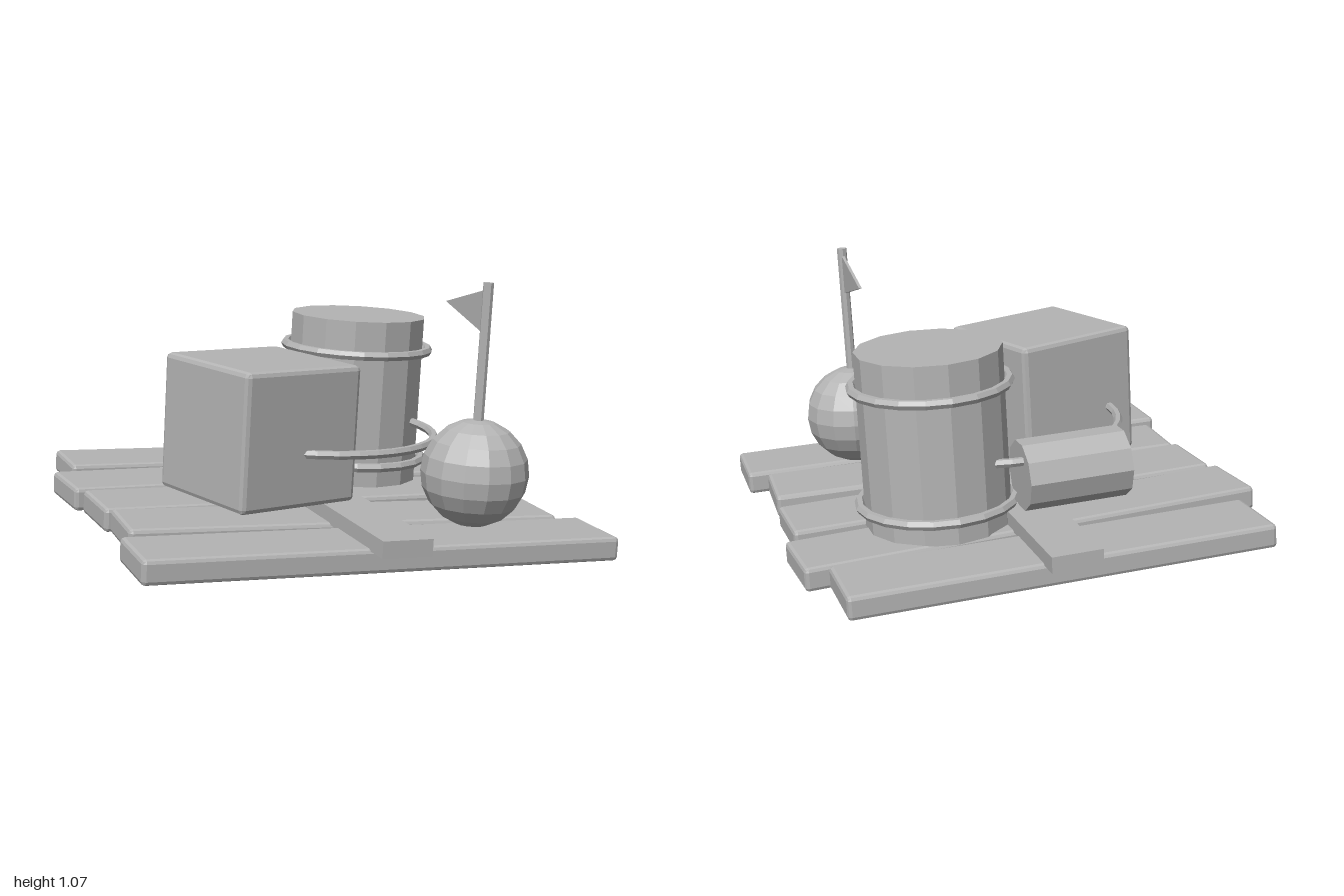
import * as THREE from 'three';
import { RoundedBoxGeometry } from 'three/addons/geometries/RoundedBoxGeometry.js';

export function createModel() {
  const grey = new THREE.MeshStandardMaterial({ color: 0xb4b4b4, flatShading: true });
  grey.name = 'plain grey';

  const model = new THREE.Group();
  model.name = 'raft';

  // Everything floats with a slight list to the front left
  const deck = new THREE.Group();
  deck.name = 'tiltedDeck';
  deck.position.y = 0.083;
  deck.rotation.set(0.042, 0, -0.042);
  model.add(deck);

  const add = (name, geometry, x, y, z, yaw = 0) => {
    const mesh = new THREE.Mesh(geometry, grey);
    mesh.name = name;
    mesh.position.set(x, y, z);
    mesh.rotation.y = yaw;
    deck.add(mesh);
    return mesh;
  };

  // Loose planks: length, z, yaw
  const planks = [
    [1.9, 0.74, -0.02],
    [1.765, 0.365, -0.048],
    [1.8, -0.012, 0.02],
    [1.88, -0.385, 0.052],
    [1.68, -0.755, 0],
  ];
  planks.forEach(([length, z, yaw], i) =>
    add(`plank${i + 1}`, new RoundedBoxGeometry(length, 0.095, 0.325, 1, 0.016), 0, 0.0475, z, yaw));

  // Beam across the planks
  add('crossBeam', new THREE.BoxGeometry(0.2, 0.065, 2), 0, 0.12, 0);

  // Crate
  add('crate', new RoundedBoxGeometry(0.55, 0.54, 0.55, 1, 0.02), -0.3, 0.42, 0.23, 0.29);

  // Barrel with two hoops
  add('barrel', new THREE.CylinderGeometry(0.29, 0.29, 0.71, 14), 0.33, 0.445, -0.295);
  for (const y of [0.185, 0.66]) {
    const hoop = new THREE.TorusGeometry(0.31, 0.02, 6, 20).rotateX(Math.PI / 2);
    add('barrelHoop', hoop, 0.33, y, -0.295);
  }

  // Canister lying on the beam
  const canister = new THREE.CylinderGeometry(0.14, 0.14, 0.42, 10).rotateZ(Math.PI / 2);
  add('canister', canister, -0.17, 0.29, -0.475);

  // Rope looped around the cargo
  const rope = new THREE.TorusGeometry(0.52, 0.018, 6, 40).rotateX(Math.PI / 2);
  add('ropeLoop', rope, 0, 0.36, 0);

  // Buoy with pole and pennant
  add('buoy', new THREE.SphereGeometry(0.212, 14, 10), 0.453, 0.3, 0.622);
  add('flagPole', new THREE.CylinderGeometry(0.021, 0.021, 0.56, 8), 0.453, 0.762, 0.622);
  const pennant = new THREE.Shape([
    new THREE.Vector2(0, 0.083),
    new THREE.Vector2(0, -0.083),
    new THREE.Vector2(0.32, 0),
  ]);
  const flag = new THREE.ExtrudeGeometry(pennant, { depth: 0.012, bevelEnabled: false });
  flag.translate(0, 0, -0.006).rotateY(Math.PI / 2);
  add('flag', flag, 0.453, 0.93, 0.61);

  return model;
}
